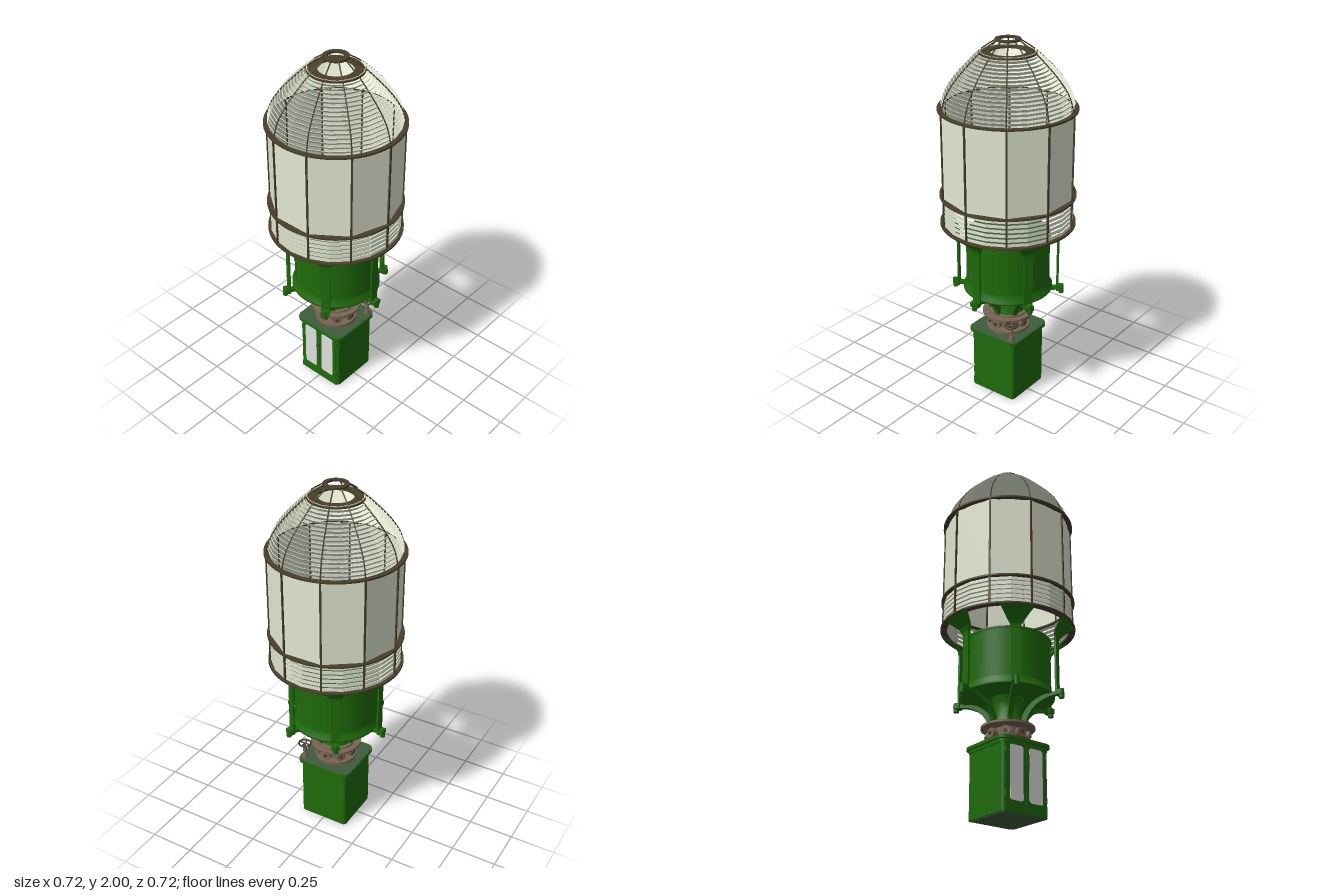
import * as THREE from 'three';

export function createModel() {
  const root = new THREE.Group();
  const mat = (name, color, extra = {}) => {
    const m = new THREE.MeshStandardMaterial({ color, ...extra });
    m.name = name;
    return m;
  };
  const green = mat('green paint', 0x1e6a0a, { side: THREE.DoubleSide });
  const greyGreen = mat('grey green deck', 0x3f5c3c);
  const glass = mat('pale glass', 0xe2e7d2, { flatShading: true, side: THREE.DoubleSide });
  const frame = mat('dark bronze', 0x483f2b);
  const bronze = mat('worn bronze', 0x786454);
  const pane = mat('window grey', 0xe0e0e0);

  const add = (name, geo, material, parent = root, x = 0, y = 0, z = 0) => {
    const m = new THREE.Mesh(geo, material);
    m.name = name;
    m.position.set(x, y, z);
    parent.add(m);
    return m;
  };
  const box = (name, w, h, d, material, x, y, z, parent = root) =>
    add(name, new THREE.BoxGeometry(w, h, d), material, parent, x, y, z);
  const disc = (name, r, y0, y1, material) =>
    add(name, new THREE.CylinderGeometry(r, r, y1 - y0, 48), material, root, 0, (y0 + y1) / 2, 0);
  const lathe = (pts, n) => new THREE.LatheGeometry(pts.map(p => new THREE.Vector2(p[0], p[1])), n, Math.PI / 2);
  // Shape extruded upward from y0 to y1
  const slab = (name, shape, y0, y1, material) => {
    const g = new THREE.ExtrudeGeometry(shape, { depth: y1 - y0, bevelEnabled: false, curveSegments: 40 });
    return add(name, g.rotateX(-Math.PI / 2), material, root, 0, y0, 0);
  };
  const ring = (name, r0, r1, y0, y1, material) => {
    const shape = new THREE.Shape().absarc(0, 0, r1, 0, Math.PI * 2);
    shape.holes.push(new THREE.Path().absarc(0, 0, r0, 0, Math.PI * 2, true));
    return slab(name, shape, y0, y1, material);
  };
  const roundRect = (w, h, r) => {
    const s = new THREE.Shape(), x = w / 2 - r, y = h / 2 - r, q = Math.PI / 2;
    s.absarc(x, y, r, 0, q);
    s.absarc(-x, y, r, q, 2 * q);
    s.absarc(-x, -y, r, 2 * q, 3 * q);
    s.absarc(x, -y, r, 3 * q, 4 * q);
    return s;
  };
  // Calls fn with a group turned to each of n directions
  const around = (name, n, fn) => {
    for (let i = 0; i < n; i++) {
      const g = new THREE.Group();
      g.name = name;
      g.rotation.y = (i / n) * Math.PI * 2;
      root.add(g);
      fn(g);
    }
  };

  // Pedestal cabinet with grey-green deck and underside
  slab('cabinetUnderside', roundRect(0.262, 0.262, 0.015), 0, 0.004, greyGreen);
  slab('cabinet', roundRect(0.285, 0.285, 0.018), 0.003, 0.35, green);
  box('cabinetPlinth', 0.26, 0.036, 0.008, green, 0, 0.02, 0.143);
  slab('cabinetMoulding', roundRect(0.3, 0.3, 0.032), 0.345, 0.36, green);
  slab('cabinetTop', roundRect(0.325, 0.325, 0.046), 0.36, 0.376, green);
  slab('cabinetDeck', roundRect(0.318, 0.318, 0.043), 0.375, 0.379, greyGreen);
  for (const s of [-1, 1]) {
    box('door', 0.121, 0.3, 0.006, green, s * 0.062, 0.195, 0.142);
    const g = new THREE.ExtrudeGeometry(roundRect(0.083, 0.278, 0.014), { depth: 0.003, bevelEnabled: false });
    add('doorWindow', g, pane, root, s * 0.061, 0.2, 0.1445);
    for (const y of [0.09, 0.31]) {
      add('hinge', new THREE.CylinderGeometry(0.005, 0.005, 0.028, 10), green, root, s * 0.127, y, 0.143);
    }
  }
  const knob = add('doorHandle', new THREE.CylinderGeometry(0.006, 0.006, 0.022, 12), frame, root, 0, 0.245, 0.154);
  knob.rotation.x = Math.PI / 2;

  // Roller turntable
  disc('turntableBase', 0.118, 0.378, 0.394, bronze);
  disc('turntableCore', 0.07, 0.39, 0.47, bronze);
  disc('turntablePlate', 0.14, 0.467, 0.479, bronze);
  disc('turntableFlange', 0.108, 0.478, 0.487, bronze);
  around('roller', 8, g => {
    const w = add('rollerWheel', new THREE.CylinderGeometry(0.027, 0.027, 0.022, 20), bronze, g, 0.102, 0.43, 0);
    w.rotation.z = Math.PI / 2;
    const a = add('rollerAxle', new THREE.CylinderGeometry(0.009, 0.009, 0.06, 10), frame, g, 0.09, 0.43, 0);
    a.rotation.z = Math.PI / 2;
  });

  // Handwheel at the back corner
  const hand = new THREE.Group();
  hand.name = 'handwheel';
  hand.position.set(0.13, 0, -0.122);
  root.add(hand);
  add('handwheelFoot', new THREE.CylinderGeometry(0.012, 0.018, 0.03, 14), bronze, hand, 0, 0.392, 0);
  add('handwheelStem', new THREE.CylinderGeometry(0.007, 0.007, 0.1, 12), bronze, hand, 0, 0.428, 0);
  add('handwheelCollar', new THREE.CylinderGeometry(0.011, 0.011, 0.022, 12), bronze, hand, 0, 0.43, 0);
  add('handwheelRim', new THREE.TorusGeometry(0.033, 0.005, 8, 28).rotateX(Math.PI / 2), frame, hand, 0, 0.474, 0);
  for (let i = 0; i < 2; i++) {
    box('handwheelSpoke', 0.066, 0.005, 0.006, frame, 0, 0.474, 0, hand).rotation.y = i * Math.PI / 2;
  }

  // Column and drum
  add('column', lathe([[0.088, 0.486], [0.082, 0.51], [0.07, 0.56], [0.075, 0.6], [0.09, 0.638]], 40), green);
  disc('drumBody', 0.226, 0.66, 0.945, green);
  add('drumSkirt', lathe([[0, 0.632], [0.243, 0.632], [0.243, 0.642], [0.232, 0.655], [0.227, 0.68]], 48), green);
  disc('drumLip', 0.231, 0.94, 0.95, green);
  disc('drumDeck', 0.227, 0.949, 0.953, greyGreen);

  // Six supports: curved arm, foot, post and flared bracket
  const arm = new THREE.Shape();
  arm.moveTo(0.29, 0.635);
  arm.bezierCurveTo(0.2, 0.635, 0.115, 0.59, 0.1, 0.488);
  arm.lineTo(0.076, 0.488);
  arm.lineTo(0.076, 0.51);
  arm.bezierCurveTo(0.09, 0.6, 0.17, 0.653, 0.29, 0.653);
  const armGeo = new THREE.ExtrudeGeometry(arm, { depth: 0.026, bevelEnabled: false, curveSegments: 14 });
  armGeo.translate(0, -0.012, -0.013);

  // Bracket: thin curved strip whose width grows with height
  const outer = [[0.276, 0.915], [0.279, 0.94], [0.292, 0.965], [0.325, 0.995], [0.35, 1.018]];
  const inner = [[0.335, 1.018], [0.312, 0.999], [0.28, 0.97], [0.268, 0.942], [0.266, 0.915]];
  const strip = new THREE.Shape([...outer, ...inner].map(([x, y]) => new THREE.Vector2(x, y)));
  const bracketGeo = new THREE.ExtrudeGeometry(strip, { depth: 2, bevelEnabled: false }).translate(0, 0, -1);
  const p = bracketGeo.attributes.position;
  for (let i = 0; i < p.count; i++) {
    const t = Math.max(0, (p.getY(i) - 0.925) / 0.093);
    p.setZ(i, p.getZ(i) * (0.024 + 0.068 * t ** 1.4));
  }
  bracketGeo.computeVertexNormals();
  around('support', 6, g => {
    add('supportArm', armGeo, green, g);
    box('supportFoot', 0.034, 0.026, 0.045, green, 0.283, 0.632, 0, g);
    add('footBolt', new THREE.CylinderGeometry(0.014, 0.014, 0.05, 12), green, g, 0.292, 0.627, 0);
    box('supportPost', 0.01, 0.29, 0.048, green, 0.271, 0.775, 0, g);
    add('supportBracket', bracketGeo, green, g);
  });

  // Ten-sided lens panels and the prism rings below
  add('lensPanels', lathe([[0.347, 1.18], [0.347, 1.65]], 10), glass);
  for (let i = 0; i < 6; i++) {
    const y = 1.028 + i * 0.0255;
    add('lowerPrism', lathe([[0.325, y + 0.006], [0.346, y], [0.346, y + 0.017], [0.325, y + 0.006]], 20), glass);
  }

  // Dome prisms: slats along the rib curve, leaning outward at the top
  const curve = new THREE.CatmullRomCurve3(
    [[0.346, 1.652], [0.322, 1.73], [0.273, 1.805], [0.205, 1.878], [0.14, 1.938], [0.058, 1.995]]
      .map(([x, y]) => new THREE.Vector3(x, y, 0)));
  const N = 17;
  for (let i = 0; i < N; i++) {
    const { x, y } = curve.getPointAt(0.04 + (i / N) * 0.78);
    add('domePrism', lathe([[x - 0.012, y - 0.012], [x + 0.001, y + 0.004], [x - 0.003, y + 0.004], [x - 0.012, y - 0.012]], 20), glass);
  }

  // Metal cage
  ring('lowerRing', 0.325, 0.36, 1.016, 1.025, frame);
  ring('middleRing', 0.33, 0.36, 1.175, 1.184, frame);
  ring('upperRing', 0.335, 0.36, 1.643, 1.652, frame);
  ring('domeCollar', 0.09, 0.145, 1.926, 1.934, frame);
  ring('topRing', 0.042, 0.066, 1.99, 2.0, frame);
  const ribGeo = new THREE.TubeGeometry(curve, 24, 0.0035, 6);
  around('cageRib', 10, g => {
    box('mullion', 0.01, 0.635, 0.009, frame, 0.348, 1.335, 0, g);
    add('domeRib', ribGeo, frame, g);
  });

  return root;
}
